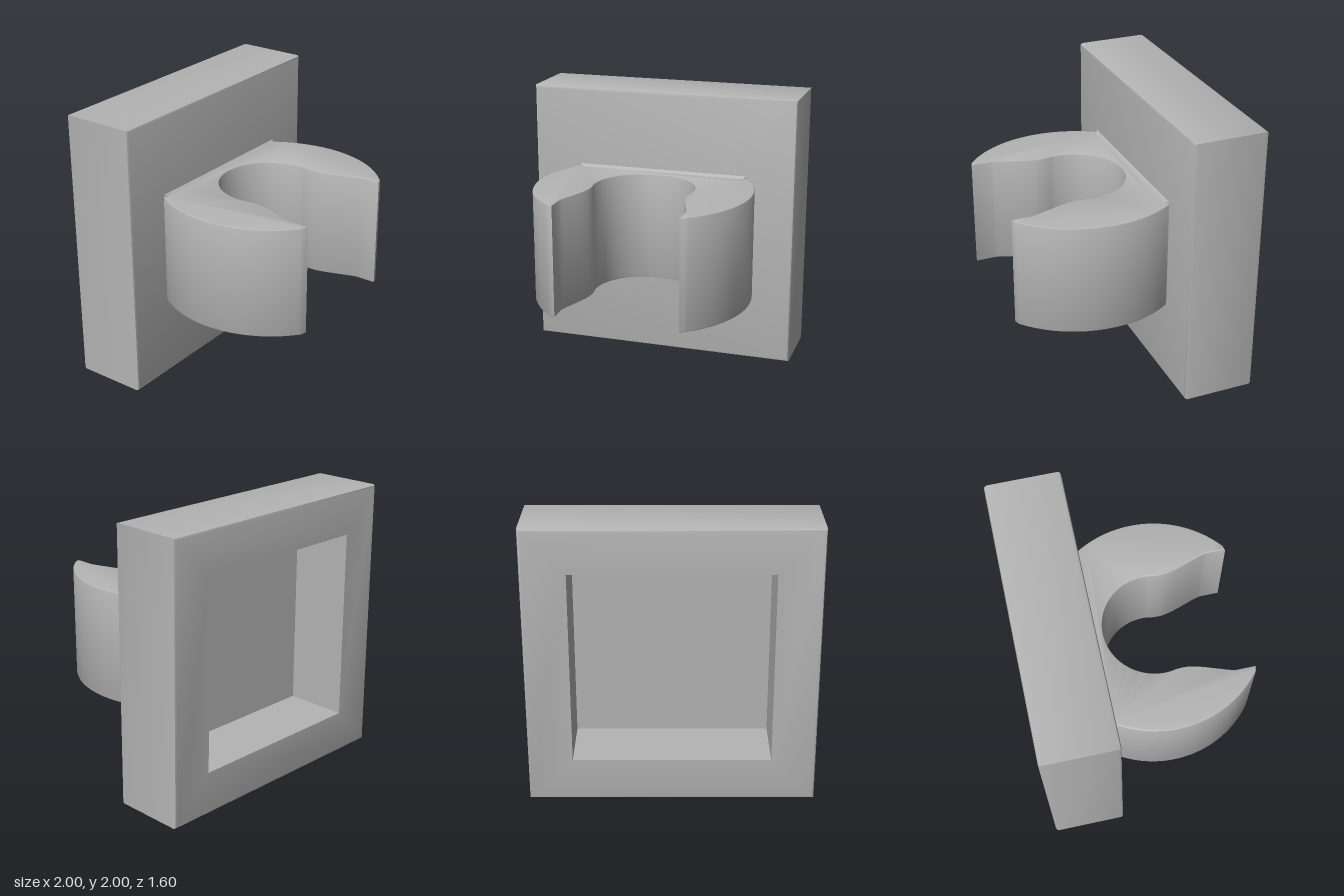
import * as THREE from 'three';
import { toCreasedNormals } from 'three/addons/utils/BufferGeometryUtils.js';

const grey = new THREE.MeshStandardMaterial({ color: 0xb4b4b4 });
grey.name = 'grey';

function addPart(group, name, geometry, crease = 0.6) {
  const mesh = new THREE.Mesh(toCreasedNormals(geometry, crease), grey);
  mesh.name = name;
  group.add(mesh);
  return mesh;
}

// Square block with a square pocket in its back: a four-sided lathe about z
function plateGeometry() {
  const profile = [
    [0, -0.345], [0.69, -0.345], [0.69, -0.8], [0.98, -0.8], [0.994, -0.794],
    [1, -0.78], [1, -0.285], [0.994, -0.271], [0.98, -0.265], [0, -0.265],
  ].map(([half, z]) => new THREE.Vector2(half * Math.SQRT2, z));
  return new THREE.LatheGeometry(profile, 4, Math.PI / 4).rotateX(Math.PI / 2);
}

// Open C-shaped clip, drawn in plan with shape y = -z
function clipGeometry() {
  const cy = -0.175, outer = 0.785, inner = 0.365;
  const rootAngle = Math.asin((0.265 + cy * -1) / outer);
  const tipAngle = -Math.asin(0.615 / outer);
  const s = new THREE.Shape();
  s.moveTo(-0.64, 0.3);
  s.lineTo(0.64, 0.3);
  s.absarc(0, cy, outer, rootAngle, tipAngle, true);
  s.lineTo(0.45, -0.8);
  s.lineTo(0.45, -0.65);
  // right jaw
  s.bezierCurveTo(0.42, -0.54, 0.355, -0.4, 0.354, -0.31);
  s.quadraticCurveTo(0.353, -0.26, 0.362, -0.22);
  // round seat
  s.absarc(0, cy, inner, -0.12, Math.PI + 0.12, false);
  // left jaw
  s.quadraticCurveTo(-0.353, -0.26, -0.354, -0.31);
  s.bezierCurveTo(-0.355, -0.4, -0.42, -0.54, -0.45, -0.65);
  s.lineTo(-0.45, -0.8);
  s.absarc(0, cy, outer, Math.PI - tipAngle, Math.PI - rootAngle, true);
  const bevel = 0.01;
  return new THREE.ExtrudeGeometry(s, {
    depth: 0.81 - 2 * bevel, curveSegments: 32, bevelEnabled: true,
    bevelSize: bevel, bevelOffset: -bevel, bevelThickness: bevel, bevelSegments: 2,
  }).rotateX(-Math.PI / 2).translate(0, 0.595 + bevel, 0);
}

export function createModel() {
  const group = new THREE.Group();
  group.name = 'wallClip';

  addPart(group, 'backPlate', plateGeometry()).position.y = 1;
  addPart(group, 'clip', clipGeometry());

  // Thin tapered fillet where the clip meets the plate
  const fillet = new THREE.CylinderGeometry(0.953 * Math.SQRT1_2, Math.SQRT1_2, 0.03, 4, 1, false, Math.PI / 4)
    .rotateX(Math.PI / 2).scale(1.3, 0.85, 1);
  addPart(group, 'rootFillet', fillet).position.set(0, 1, -0.255);

  return group;
}
